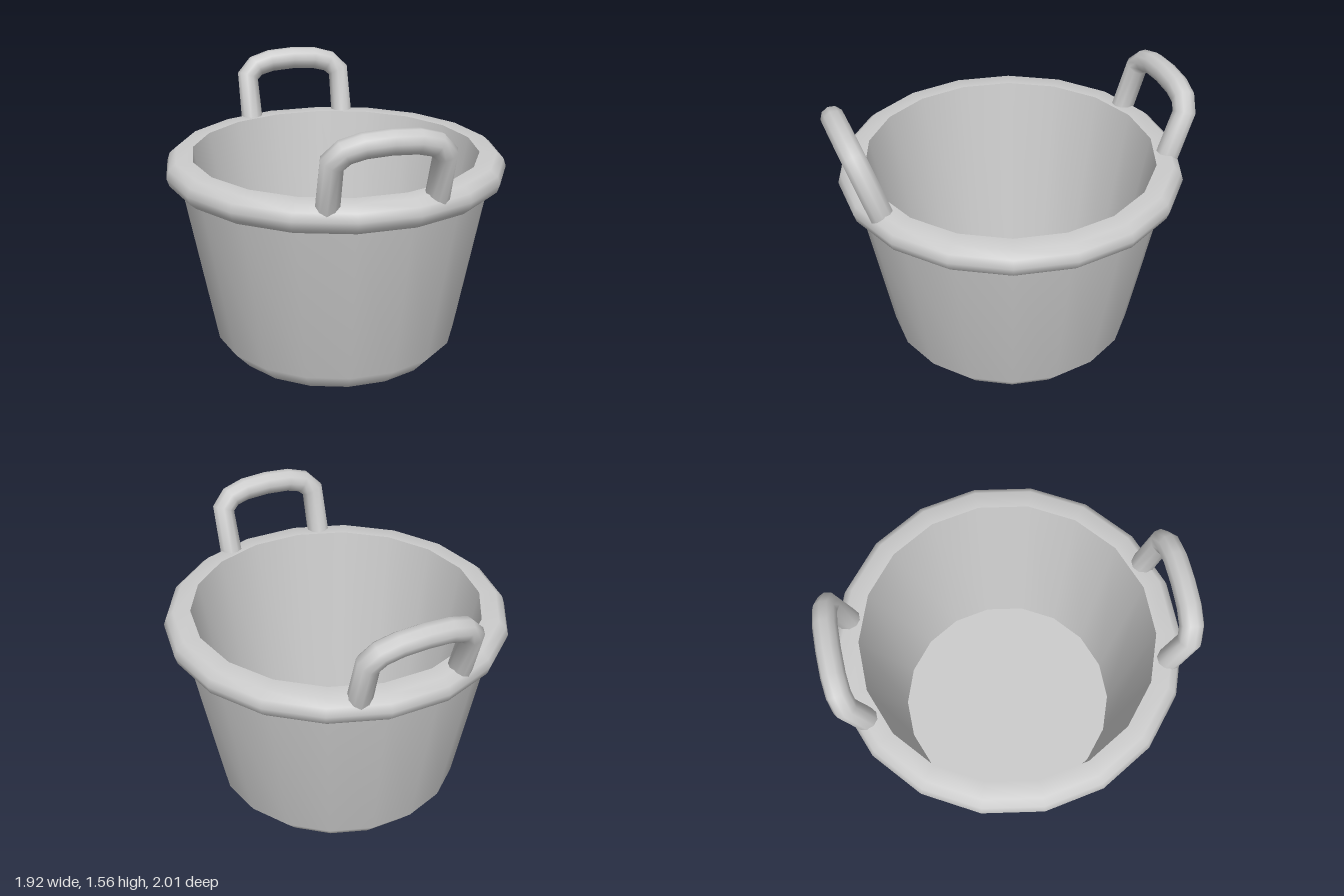
import * as THREE from 'three';

const SIDES = 18;
const material = new THREE.MeshStandardMaterial({ color: 0xcccccc });

// Ring of revolution with a corner on the x axis; smooth within one profile.
function lathe(name, profile) {
  const points = profile.map(([r, y]) => new THREE.Vector2(r, y));
  const mesh = new THREE.Mesh(new THREE.LatheGeometry(points, SIDES, Math.PI / 2), material);
  mesh.name = name;
  return mesh;
}

// Arched grip leaning outward, with one tube ring at each path point.
function handle(name, side) {
  const half = [[0.29, 1.12], [0.292, 1.41], [0.235, 1.466], [0.14, 1.492]];
  const outline = [...half, [0, 1.5], ...half.map(([x, y]) => [-x, y]).reverse()];
  const lean = (y) => 0.825 + (y - 1.15) * 0.32;
  const path = new THREE.CatmullRomCurve3(
    outline.map(([x, y]) => new THREE.Vector3(x, y, side * lean(y)))
  );
  path.getPointAt = path.getPoint;
  path.getTangentAt = path.getTangent;
  const mesh = new THREE.Mesh(
    new THREE.TubeGeometry(path, outline.length - 1, 0.066, 10, false),
    material
  );
  mesh.name = name;
  return mesh;
}

export function createModel() {
  const tub = new THREE.Group();
  tub.name = 'tub';

  // Outer shell: underside, then tapered wall with a bevelled foot
  tub.add(lathe('base', [[0, 0], [0.61, 0]]));
  tub.add(lathe('outerWall', [[0.61, 0], [0.7, 0.1], [0.877, 1.03]]));

  // Rolled rim
  tub.add(lathe('rimUnderside', [[0.87, 1.025], [0.91, 1.025]]));
  tub.add(lathe('rim', [
    [0.91, 1.025], [0.945, 1.055], [0.96, 1.1], [0.945, 1.145], [0.905, 1.18], [0.81, 1.18],
  ]));

  // Inside
  tub.add(lathe('innerWall', [[0.81, 1.18], [0.63, 0.11]]));
  tub.add(lathe('floor', [[0.63, 0.11], [0, 0.11]]));

  // Handles
  tub.add(handle('frontHandle', 1), handle('backHandle', -1));
  return tub;
}
